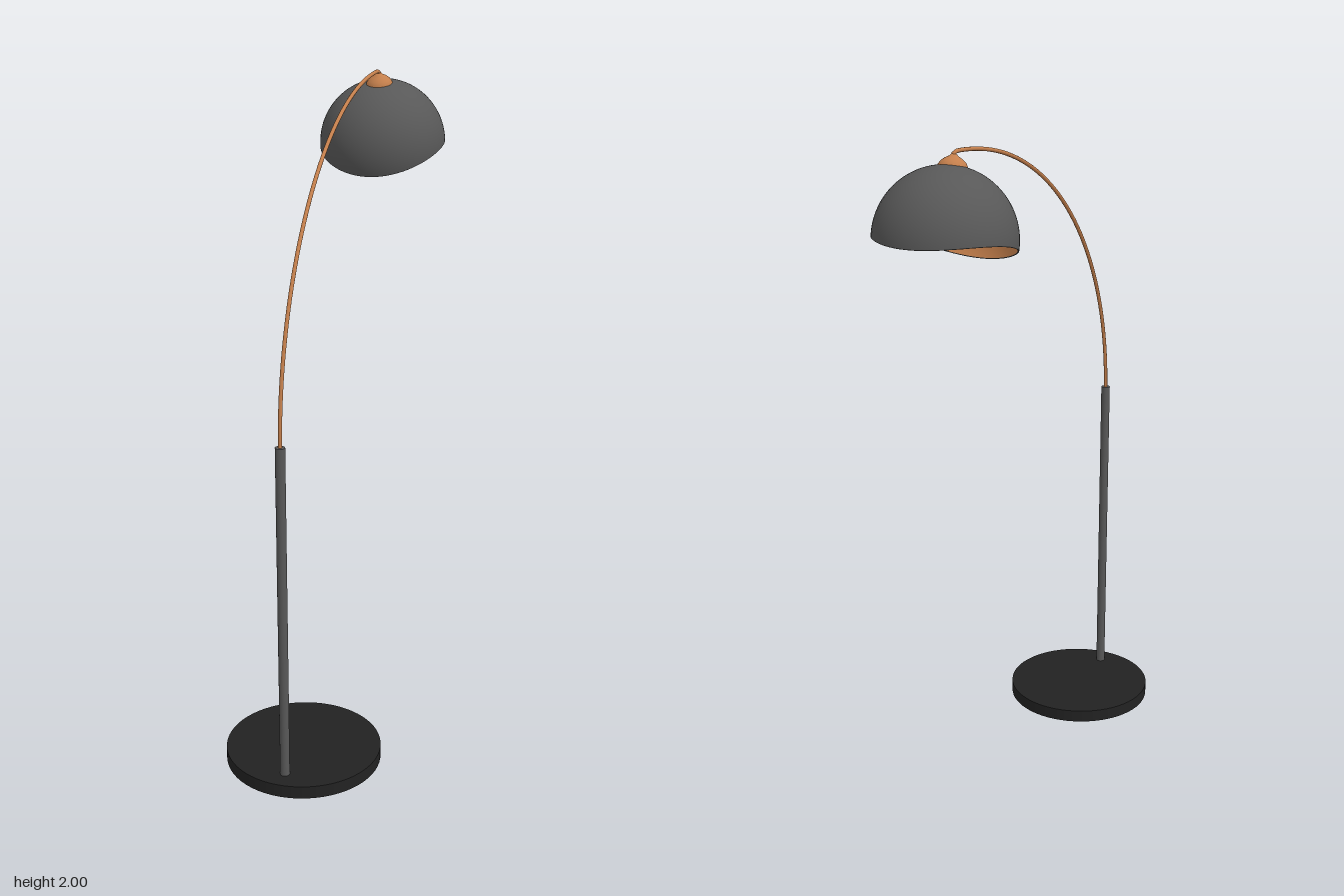
import * as THREE from 'three';

const charcoal = new THREE.MeshStandardMaterial({ name: 'charcoal', color: 0x585858 });
const black = new THREE.MeshStandardMaterial({ name: 'black', color: 0x222222 });
const copper = new THREE.MeshStandardMaterial({ name: 'copper', color: 0xc47f4c });
const bulbWhite = new THREE.MeshStandardMaterial({ name: 'bulbWhite', color: 0xd3e2d0 });

const SHADE_R = 0.202;
const SHADE_X = -0.005;

function part(name, geometry, material, x = 0, y = 0, z = 0) {
  const mesh = new THREE.Mesh(geometry, material);
  mesh.name = name;
  mesh.position.set(x, y, z);
  return mesh;
}

// Polar angle of the shade rim: dips at front and back, rises at the sides
function rimAngle(cosFront) {
  return Math.PI / 2 + THREE.MathUtils.degToRad(10.5) * cosFront * cosFront;
}

// Hemisphere stretched down to the wavy rim; inward flips the faces
function domeGeometry(radius, inward) {
  const geo = new THREE.SphereGeometry(radius, 64, 28, 0, Math.PI * 2, 0, Math.PI / 2);
  const pos = geo.attributes.position;
  const nor = geo.attributes.normal;
  const p = new THREE.Vector3();
  for (let i = 0; i < pos.count; i++) {
    p.fromBufferAttribute(pos, i);
    const flat = Math.hypot(p.x, p.z);
    if (flat > 1e-6) {
      const sx = p.x / flat, sz = p.z / flat;
      const t = Math.atan2(flat, p.y) / (Math.PI / 2) * rimAngle(sz);
      p.set(sx * Math.sin(t), Math.cos(t), sz * Math.sin(t));
    } else {
      p.set(0, 1, 0);
    }
    pos.setXYZ(i, p.x * radius, p.y * radius, p.z * radius);
    if (inward) p.negate();
    nor.setXYZ(i, p.x, p.y, p.z);
  }
  if (inward) geo.setIndex(Array.from(geo.index.array).reverse());
  return geo;
}

// Rolled edge joining the outer and inner shells
function rimGeometry(radius) {
  const points = [];
  for (let i = 0; i < 48; i++) {
    const a = i / 48 * Math.PI * 2;
    const t = rimAngle(Math.cos(a));
    points.push(new THREE.Vector3(Math.sin(a) * Math.sin(t), Math.cos(t), Math.cos(a) * Math.sin(t)).multiplyScalar(radius));
  }
  return new THREE.TubeGeometry(new THREE.CatmullRomCurve3(points, true), 96, 0.002, 6, true);
}

function lathe(points, segments = 32) {
  return new THREE.LatheGeometry(points.map(([r, y]) => new THREE.Vector2(r, y)), segments);
}

export function createModel() {
  const lamp = new THREE.Group();
  lamp.name = 'arcFloorLamp';

  // Base disc and upright
  lamp.add(part('base', new THREE.CylinderGeometry(0.238, 0.238, 0.04, 64), black, 0, 0.02, 0.412));
  lamp.add(part('pole', new THREE.CylinderGeometry(0.0145, 0.0145, 1.05, 24), charcoal, 0, 0.56, 0.588));

  // Arched arm: quarter ellipse, then a short drop into the cap
  const path = [];
  for (let i = 0; i <= 20; i++) {
    const a = i / 20 * Math.PI / 2;
    path.push(new THREE.Vector3(SHADE_X * i / 20, 1.07 + 0.924 * Math.sin(a), -0.385 + 0.973 * Math.cos(a)));
  }
  path.push(new THREE.Vector3(SHADE_X, 1.991, -0.399), new THREE.Vector3(SHADE_X, 1.975, -0.402));
  lamp.add(part('arm', new THREE.TubeGeometry(new THREE.CatmullRomCurve3(path), 96, 0.006, 10), copper));

  // Tilted shade assembly, origin at the dome centre
  const head = new THREE.Group();
  head.name = 'shadeAssembly';
  head.position.set(SHADE_X, 1.763, -0.45);
  head.rotation.x = THREE.MathUtils.degToRad(13);
  head.add(part('shadeOuter', domeGeometry(SHADE_R, false), charcoal));
  head.add(part('shadeInner', domeGeometry(SHADE_R - 0.004, true), copper));
  head.add(part('shadeRim', rimGeometry(SHADE_R - 0.002), charcoal));
  head.add(part('cap', lathe([[0.042, 0.194], [0.041, 0.2], [0.035, 0.21], [0.024, 0.219], [0.013, 0.225], [0.008, 0.23], [0, 0.231]]), copper));

  // Lamp holder and bulb hanging under the crown
  head.add(part('socket', new THREE.CylinderGeometry(0.016, 0.016, 0.03, 24), copper, 0, 0.185, 0));
  head.add(part('bulb', new THREE.SphereGeometry(0.025, 24, 16), bulbWhite, 0, 0.155, 0));
  lamp.add(head);

  return lamp;
}
